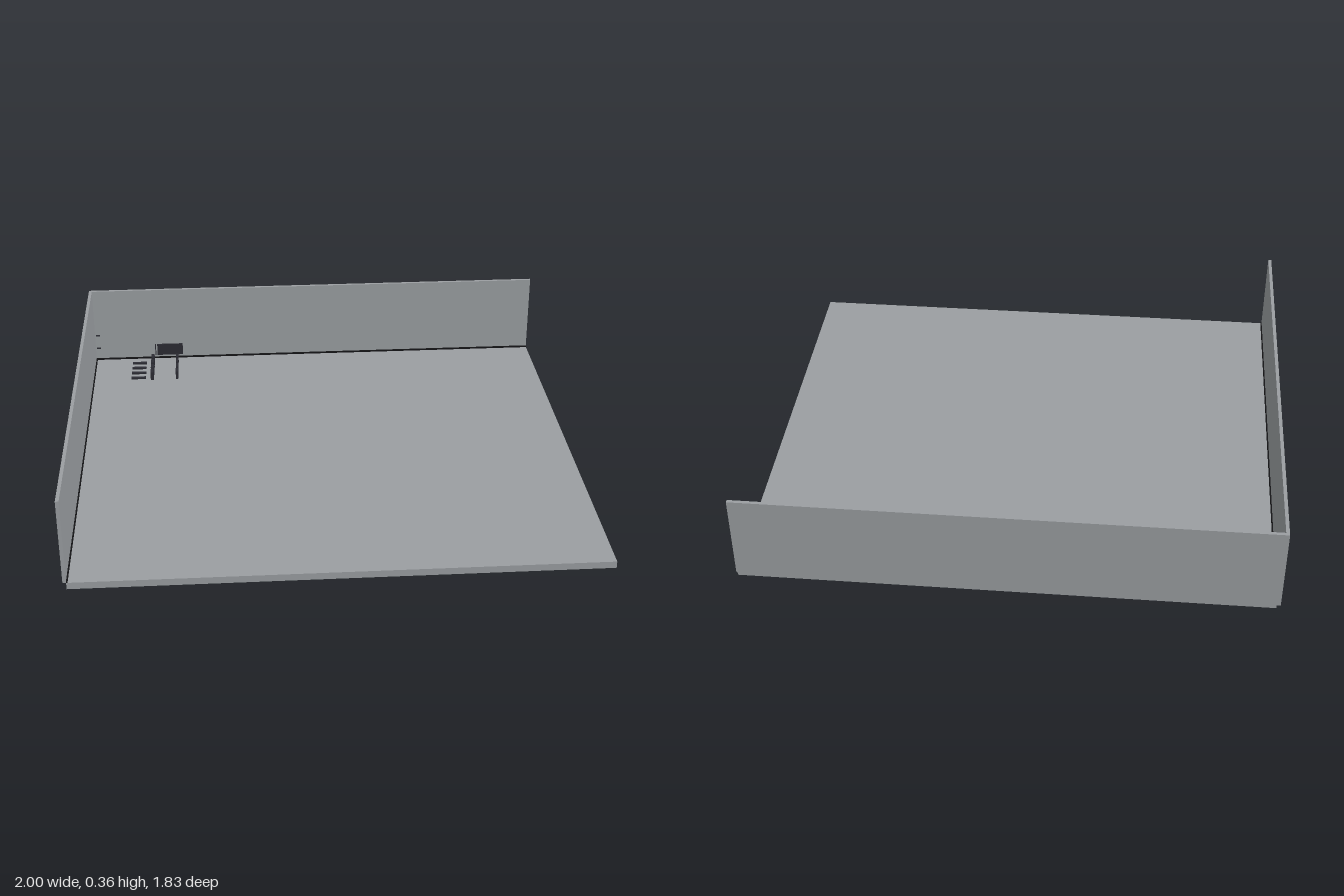
import * as THREE from 'three';

export function createModel() {
  const model = new THREE.Group();
  model.name = 'openRoom';

  const mat = (name, color) => {
    const m = new THREE.MeshStandardMaterial({ color });
    m.name = name;
    return m;
  };
  const grey = mat('plasterGrey', 0x9a9ea1);
  const dark = mat('darkSlate', 0x2b2b33);
  const black = mat('skirtingBlack', 0x141416);

  // Box given by its minimum and maximum corners
  const box = (name, material, x0, x1, y0, y1, z0, z1, parent = model) => {
    const mesh = new THREE.Mesh(new THREE.BoxGeometry(x1 - x0, y1 - y0, z1 - z0), material);
    mesh.position.set((x0 + x1) / 2, (y0 + y1) / 2, (z0 + z1) / 2);
    mesh.name = name;
    parent.add(mesh);
  };

  const floorTop = 0.027, inX = -0.987, inZ = -0.904, front = 0.917;

  // Floor slab and the two walls
  box('floor', grey, inX, 1, 0, floorTop, inZ, front);
  box('backWall', grey, inX, 1, floorTop, 0.364, -0.917, inZ);
  box('sideWall', grey, -1, inX, floorTop, 0.364, -0.917, front);

  // Skirting along the inside of the walls
  box('backSkirting', black, inX, 1, floorTop, 0.034, inZ, inZ + 0.005);
  box('sideSkirting', black, inX, inX + 0.005, floorTop, 0.034, inZ + 0.005, front);

  // Panel on the back wall with a narrow edge strip
  box('wallPanel', dark, -0.708, -0.592, 0.044, 0.097, inZ, inZ + 0.006);
  box('panelStrip', dark, -0.718, -0.714, 0.044, 0.097, inZ, inZ + 0.006);

  // Small marks in the corner
  for (const y of [0.085, 0.147]) {
    box('wallMark', dark, -0.982, -0.964, y - 0.003, y + 0.003, inZ, inZ + 0.004);
  }

  // Four rows of floor bars and upright plates
  for (let i = 0; i < 4; i++) {
    const z = -0.845 + i * 0.05;
    const row = new THREE.Group();
    row.name = 'row' + (i + 1);
    box('floorBar', dark, -0.82, -0.756, floorTop, 0.034, z - 0.007, z + 0.007, row);
    box('thickPlate', dark, -0.734, -0.72, floorTop, 0.065, z - 0.018, z + 0.018, row);
    box('thinPlate', dark, -0.622, -0.612, floorTop, 0.065, z - 0.018, z + 0.018, row);
    model.add(row);
  }
  return model;
}
